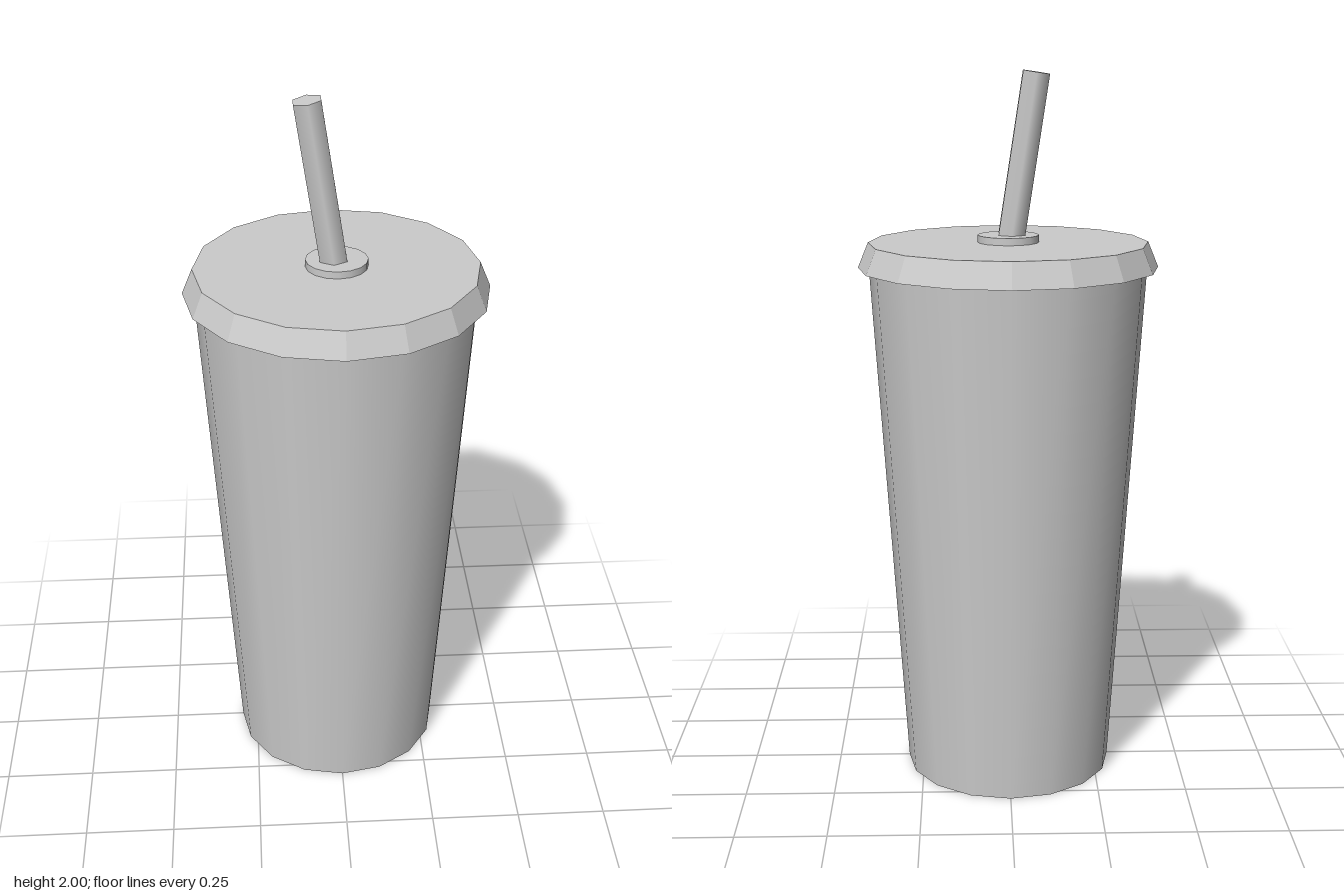
import * as THREE from 'three';

// Closed tapered cylinder standing between two heights
function drum(name, rTop, rBottom, y0, y1, sides, flatShading = false) {
  const geometry = new THREE.CylinderGeometry(rTop, rBottom, y1 - y0, sides);
  const material = new THREE.MeshStandardMaterial({ color: 0xcccccc, flatShading });
  const mesh = new THREE.Mesh(geometry, material);
  mesh.name = name;
  mesh.position.y = (y0 + y1) / 2;
  return mesh;
}

export function createModel() {
  const group = new THREE.Group();
  group.name = 'drinkCup';

  // Tapered cup body, smooth sided, its top tucked into the lid
  group.add(drum('cupBody', 0.388, 0.295, 0, 1.48, 16));

  // Faceted lid that overhangs the cup
  group.add(drum('lid', 0.388, 0.417, 1.465, 1.535, 16, true));

  // Low collar around the straw hole
  group.add(drum('strawCollar', 0.085, 0.085, 1.53, 1.555, 16));

  // Six-sided straw, leaning towards -x
  const length = 0.5, tilt = 0.15;
  const straw = drum('straw', 0.042, 0.042, 0, length, 6);
  straw.rotation.z = tilt;
  straw.position.set(
    -0.076 + Math.sin(tilt) * length / 2,
    1.9946 - Math.cos(tilt) * length / 2,
    0
  );
  group.add(straw);

  return group;
}
